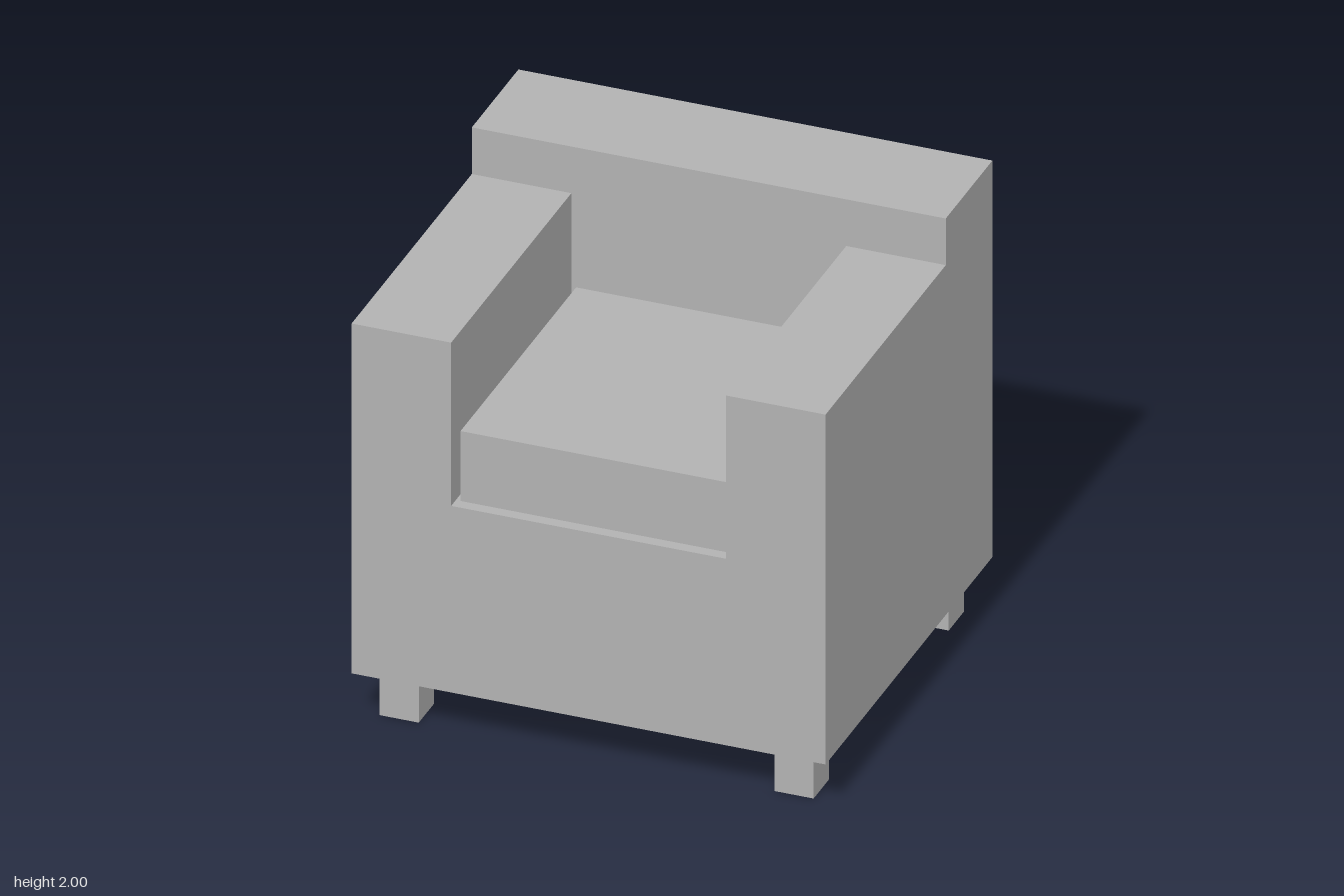
import * as THREE from 'three';

export function createModel() {
  const group = new THREE.Group();
  group.name = 'armchair';
  const grey = new THREE.MeshStandardMaterial({ color: 0xb2b2b2 });
  grey.name = 'grey';

  const add = (name, geometry) => {
    const mesh = new THREE.Mesh(geometry, grey);
    mesh.name = name;
    group.add(mesh);
    return mesh;
  };
  // Box given by its lower and upper corners
  const box = (name, x0, x1, y0, y1, z0, z1) =>
    add(name, new THREE.BoxGeometry(x1 - x0, y1 - y0, z1 - z0))
      .position.set((x0 + x1) / 2, (y0 + y1) / 2, (z0 + z1) / 2);

  const bottom = 0.215, seat = 1.055, armTop = 1.79, armInner = 0.58;
  const front = 0.895, backFront = -0.395;

  // Base and both arms: one U-shaped section running front to back
  const section = new THREE.Shape([
    [-1, bottom], [1, bottom], [1, armTop], [armInner, armTop],
    [armInner, seat], [-armInner, seat], [-armInner, armTop], [-1, armTop],
  ].map(([x, y]) => new THREE.Vector2(x, y)));
  add('baseAndArms', new THREE.ExtrudeGeometry(section, {
    depth: front - backFront, bevelEnabled: false,
  })).position.z = backFront;

  // Backrest block, full height down to the underside
  box('backrest', -1, 1, bottom, 2, -front, backFront);

  // Loose seat cushion, set slightly in from the arms and front
  box('seatCushion', -0.56, 0.56, seat, 1.37, backFront, 0.845);

  // Four square legs
  for (const [sideName, x] of [['left', 0.833], ['right', -0.833]]) {
    for (const [endName, z] of [['Front', 0.727], ['Back', -0.723]]) {
      const h = 0.083;
      box(`${sideName}${endName}Leg`, x - h, x + h, 0, bottom, z - h, z + h);
    }
  }
  return group;
}
